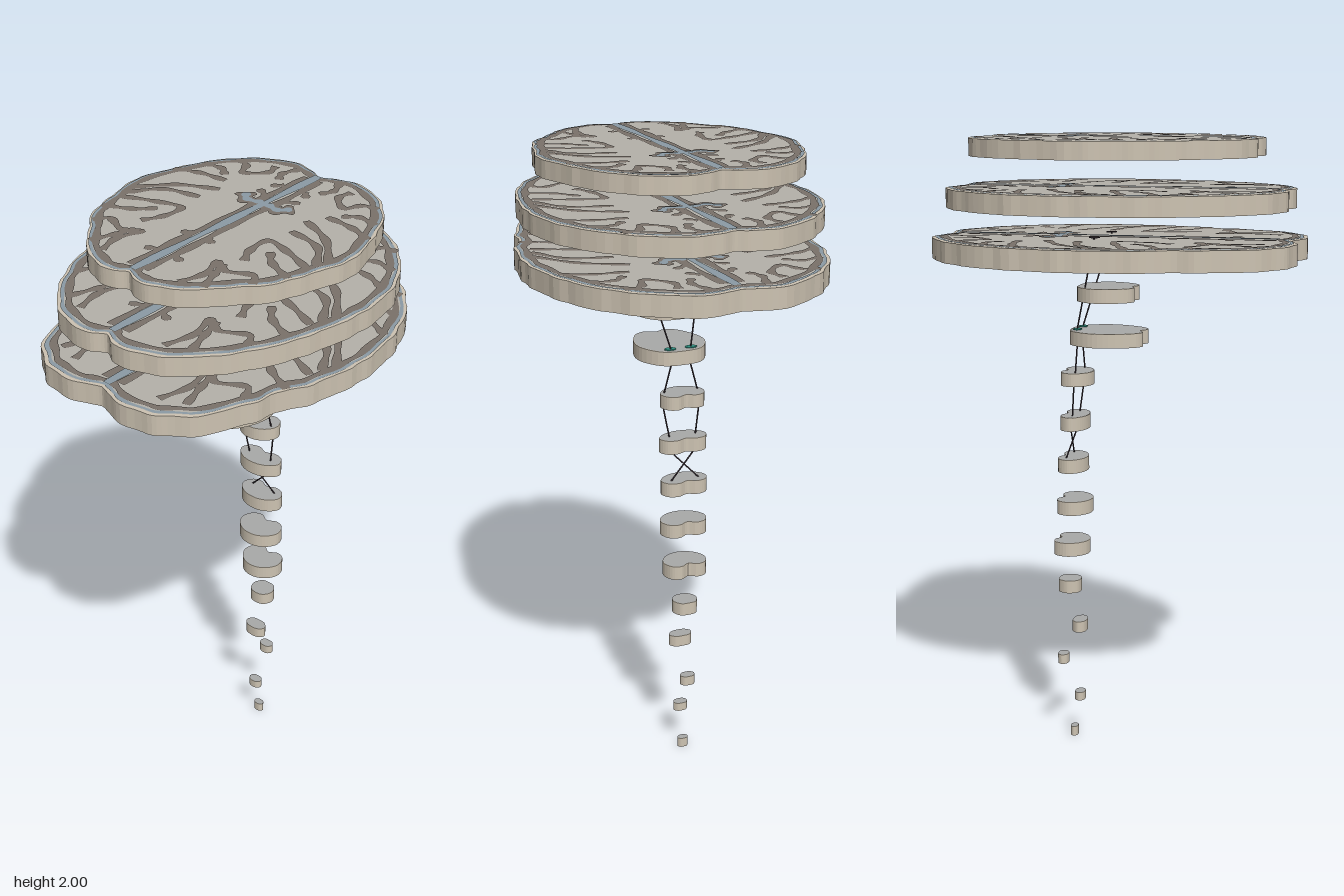
import * as THREE from 'three';

const mat = (color) => new THREE.MeshStandardMaterial({ color });
const rimMat = mat(0xcdc3b2), matterMat = mat(0xb4b1aa), cortexMat = mat(0x7a716a);
const fluidMat = mat(0x8b9ba5), stemMat = mat(0xa9aaa9), tractMat = mat(0x3a3038), tealMat = mat(0x2f8f80);

function add(parent, name, geometry, material, x = 0, y = 0, z = 0) {
  const mesh = new THREE.Mesh(geometry, material);
  mesh.name = name;
  mesh.position.set(x, y, z);
  parent.add(mesh);
  return mesh;
}

// Closed symmetric outline from the points of one half, as Vector2(x, z)
function outline(half, sx = 1, sz = 1, ripple = 0, steps = 96) {
  const mirrored = half.slice(1, -1).reverse().map(([x, z]) => [-x, z]);
  const pts = [...half, ...mirrored].map(([x, z]) => new THREE.Vector3(x * sx, 0, z * sz));
  const curve = new THREE.CatmullRomCurve3(pts, true);
  return curve.getPoints(steps).slice(0, -1).map((p) => {
    const a = Math.atan2(p.z, Math.abs(p.x));
    const k = 1 + ripple * (Math.sin(a * 23) + 0.7 * Math.sin(a * 37 + 1));
    return new THREE.Vector2(p.x * k, p.z * k);
  });
}

const toShape = (pts, k = 1) => new THREE.Shape(pts.map((p) => new THREE.Vector2(p.x * k, -p.y * k)));

// Flat upward strip of given width along a path of Vector2(x, z)
function ribbon(pts, width, closed = false) {
  const curve = new THREE.CatmullRomCurve3(pts.map((p) => new THREE.Vector3(p.x, 0, p.y)), closed);
  const n = closed ? 160 : pts.length * 6;
  const pos = [], index = [];
  for (let i = 0; i <= n; i++) {
    const p = curve.getPoint(i / n), d = curve.getTangent(i / n);
    const w = width * 0.5 * (1 + 0.25 * Math.sin(i * 0.9));
    pos.push(p.x - d.z * w, 0, p.z + d.x * w, p.x + d.z * w, 0, p.z - d.x * w);
    if (i < n) index.push(2 * i, 2 * i + 2, 2 * i + 1, 2 * i + 1, 2 * i + 2, 2 * i + 3);
  }
  const g = new THREE.BufferGeometry();
  g.setAttribute('position', new THREE.Float32BufferAttribute(pos, 3));
  g.setIndex(index);
  g.computeVertexNormals();
  return g;
}

// Extruded slab with a slightly inset face on top
function slab(name, pts, bottom, top, z, faceMat) {
  const group = new THREE.Group();
  group.name = name;
  group.position.set(0, bottom, z);
  const depth = top - bottom;
  const body = new THREE.ExtrudeGeometry(toShape(pts), { depth, bevelEnabled: false });
  add(group, 'rim', body.rotateX(-Math.PI / 2), rimMat);
  const face = new THREE.ShapeGeometry(toShape(pts, 0.98)).rotateX(-Math.PI / 2);
  add(group, 'cutFace', face, faceMat, 0, depth + 0.001);
  return group;
}

// Folds drawn on one hemisphere, for a slice 0.84 wide and 0.9 long
const folds = [
  [[0.39, 0.03], [0.29, -0.08], [0.17, -0.14]],
  [[0.37, 0.06], [0.3, -0.03], [0.18, -0.06]],
  [[0.36, 0.09], [0.26, 0.05], [0.17, 0.03], [0.17, 0.11], [0.2, 0.17]],
  [[0.36, 0.17], [0.27, 0.13], [0.22, 0.08]],
  [[0.31, 0.26], [0.28, 0.22], [0.2, 0.25], [0.15, 0.22], [0.17, 0.3], [0.15, 0.38]],
  [[0.22, 0.36], [0.19, 0.28], [0.17, 0.22]],
  [[0.38, -0.16], [0.3, -0.19], [0.2, -0.2]],
  [[0.34, -0.25], [0.27, -0.26], [0.23, -0.23]],
  [[0.28, -0.34], [0.23, -0.33], [0.2, -0.28], [0.14, -0.33], [0.15, -0.38]],
  [[0.08, -0.41], [0.1, -0.35], [0.08, -0.31]],
  [[0.04, -0.2], [0.08, -0.22]], [[0.04, -0.29], [0.07, -0.26]],
  [[0.03, 0.13], [0.06, 0.15]], [[0.03, 0.27], [0.07, 0.29]],
];

function cerebrumSlice(name, half, bottom, top, ripple) {
  const pts = outline(half, 1, 1, ripple, 160);
  const g = slab(name, pts, bottom, top, 0, matterMat);
  const y = top - bottom;
  const sx = Math.max(...pts.map((p) => p.x)) / 0.42, sz = Math.max(...pts.map((p) => p.y)) / 0.45;
  const at = ([x, z], s = 1) => new THREE.Vector2(x * sx * s, z * sz);
  const strip = (label, path, w, m, h, s) => add(g, label, ribbon(path.map((p) => at(p, s)), w), m, 0, y + h);

  // Outer fluid and cortex bands
  const band = (k) => pts.filter((_, i) => i % 2 === 0).map((p) => p.clone().multiplyScalar(k));
  add(g, 'outerFluid', ribbon(band(0.97), 0.012, true), fluidMat, 0, y + 0.002);
  add(g, 'cortexBand', ribbon(band(0.935), 0.022, true), cortexMat, 0, y + 0.003);
  for (const s of [-1, 1]) {
    folds.forEach((f) => strip('fold', f, 0.024, cortexMat, 0.003, s));
    strip('medialCortex', [[0.024, -0.38], [0.03, -0.2], [0.022, 0], [0.03, 0.2], [0.026, 0.39]], 0.026, cortexMat, 0.003, s);
    strip('ventricleBorder', [[0.01, -0.15], [0.06, -0.14], [0.095, -0.175]], 0.055, cortexMat, 0.004, s);
    strip('ventricle', [[0.01, -0.15], [0.06, -0.14], [0.09, -0.17]], 0.024, fluidMat, 0.005, s);
  }
  strip('midlineFissure', [[0, -0.405], [0, 0], [0, 0.41]], 0.028, fluidMat, 0.005, 1);
  return g;
}

export function createModel() {
  const root = new THREE.Group();
  root.name = 'slicedBrainAndCord';

  // Three large cerebrum slices
  const upper = [[0, -0.41], [0.05, -0.437], [0.13, -0.448], [0.23, -0.405], [0.32, -0.31], [0.385, -0.16],
    [0.415, -0.03], [0.395, 0.06], [0.37, 0.15], [0.34, 0.23], [0.27, 0.31], [0.2, 0.39], [0.1, 0.445], [0.04, 0.445], [0, 0.425]];
  const middle = [[0, -0.5], [0.05, -0.52], [0.13, -0.525], [0.24, -0.475], [0.34, -0.38], [0.42, -0.25],
    [0.452, -0.1], [0.452, 0], [0.43, 0.13], [0.4, 0.24], [0.34, 0.36], [0.26, 0.46], [0.16, 0.53], [0.05, 0.545], [0, 0.52]];
  const lower = [[0, -0.555], [0.04, -0.565], [0.09, -0.583], [0.2, -0.545], [0.3, -0.47], [0.38, -0.37], [0.435, -0.24],
    [0.458, -0.12], [0.465, -0.03], [0.45, 0.08], [0.43, 0.17], [0.385, 0.26], [0.38, 0.33], [0.345, 0.4], [0.31, 0.49],
    [0.24, 0.54], [0.19, 0.572], [0.09, 0.578], [0.04, 0.562], [0, 0.55]];
  root.add(cerebrumSlice('upperCerebrumSlice', upper, 1.94, 1.995, 0.004));
  root.add(cerebrumSlice('middleCerebrumSlice', middle, 1.78, 1.84, 0.004));
  root.add(cerebrumSlice('lowerCerebrumSlice', lower, 1.62, 1.685, 0.005));

  // Brain stem and spinal cord slices: outline, half width, front z, back z, bottom, top
  const midbrain = [[0, -1], [0.55, -0.9], [0.95, -0.35], [0.95, 0.2], [0.6, 0.85], [0.3, 0.98], [0, 0.85]];
  const bean = [[0, -0.7], [0.4, -0.98], [0.8, -0.8], [1, -0.1], [0.8, 0.5], [0.4, 0.9], [0, 1]];
  const round = [[0, -0.95], [0.6, -0.85], [1, 0], [0.65, 0.8], [0, 1]];
  [
    [midbrain, 0.107, 0.06, -0.13, 1.485, 1.53],
    [midbrain, 0.113, 0.09, -0.155, 1.345, 1.39],
    [bean, 0.072, -0.085, -0.185, 1.21, 1.253],
    [bean, 0.079, -0.1, -0.185, 1.065, 1.11],
    [bean, 0.077, -0.105, -0.195, 0.925, 0.97],
    [bean, 0.077, -0.09, -0.2, 0.785, 0.83],
    [bean, 0.072, -0.1, -0.212, 0.645, 0.69],
    [round, 0.041, -0.13, -0.205, 0.51, 0.552],
    [round, 0.039, -0.11, -0.157, 0.375, 0.412],
    [round, 0.025, -0.175, -0.21, 0.255, 0.287],
    [round, 0.024, -0.118, -0.152, 0.13, 0.158],
    [round, 0.018, -0.143, -0.168, 0, 0.032],
  ].forEach(([half, w, front, back, bottom, top], i) => {
    const pts = outline(half, w, (front - back) / 2, 0, 48);
    root.add(slab(i < 7 ? 'stemSlice' : 'cordSlice', pts, bottom, top, (front + back) / 2, stemMat));
  });

  // Nerve tracts running down both sides and crossing over
  const path = [[0.108, 1.69, -0.052], [0.09, 1.62, -0.07], [0.033, 1.39, -0.13], [0.03, 1.35, -0.13], [0.06, 1.24, -0.13],
    [0.06, 1.2, -0.135], [0.043, 1.1, -0.145], [0.045, 1.065, -0.149], [-0.052, 0.965, -0.166]];
  for (const s of [-1, 1]) {
    const tract = new THREE.CurvePath();
    const v = path.map(([x, y, z]) => new THREE.Vector3(s * x, y, z));
    for (let i = 1; i < v.length; i++) tract.add(new THREE.LineCurve3(v[i - 1], v[i]));
    add(root, 'nerveTract', new THREE.TubeGeometry(tract, 80, 0.0025, 6), tractMat);
    add(root, 'tractOrigin', new THREE.CylinderGeometry(0.017, 0.017, 0.003, 16), tractMat, s * 0.105, 1.692, -0.052);
    add(root, 'relayNucleus', new THREE.CylinderGeometry(0.019, 0.019, 0.003, 16), tealMat, s * 0.035, 1.393, -0.128)
      .scale.z = 0.7;
  }
  return root;
}
